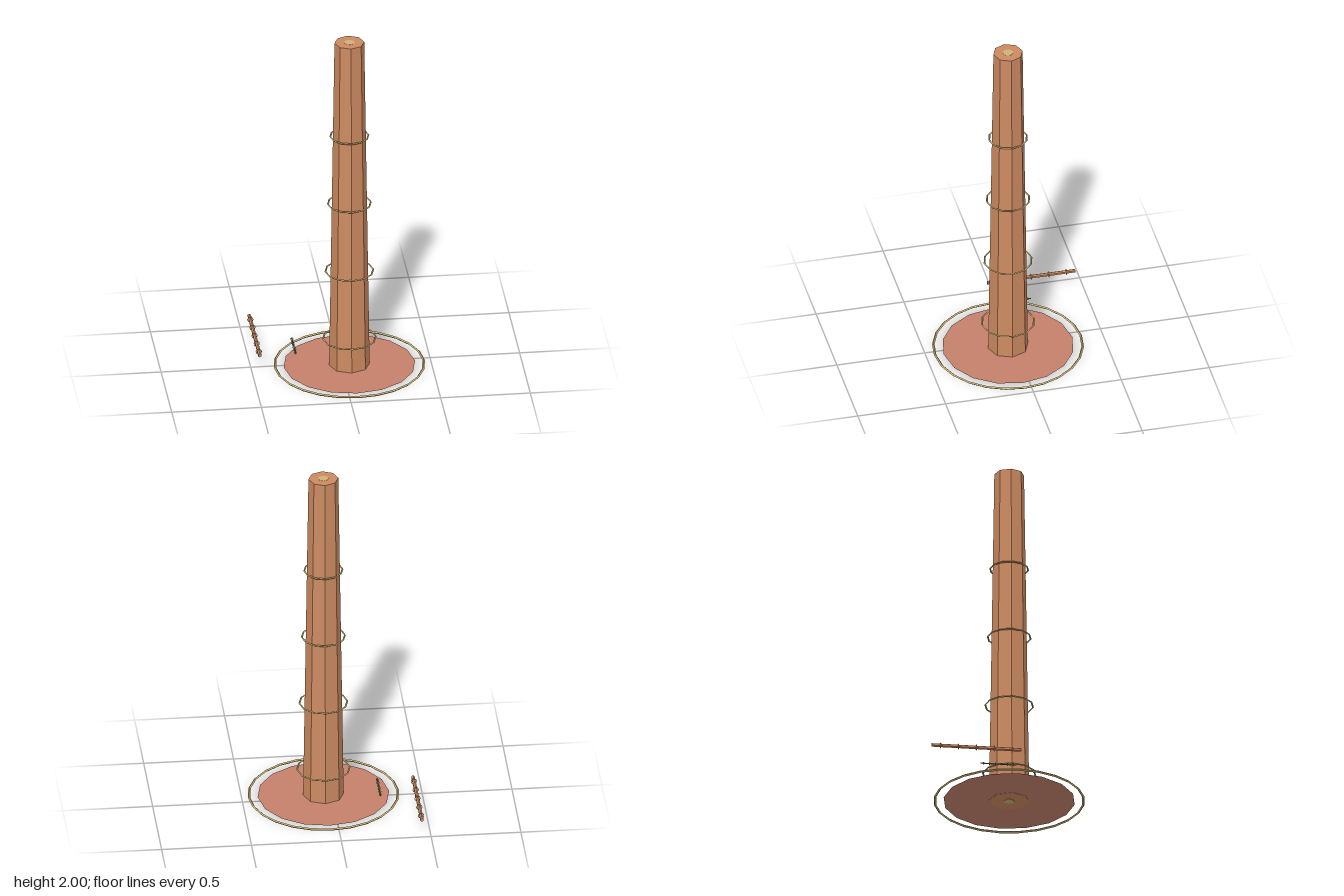
import * as THREE from 'three';

const material = (name, color, extra = {}) => {
  const m = new THREE.MeshStandardMaterial({ color, flatShading: true, ...extra });
  m.name = name;
  return m;
};

export function createModel() {
  const wood = material('wood', 0xcc8a60);
  const tan = material('tan', 0xcbb274);
  const clay = material('clay', 0xc4806a, { side: THREE.DoubleSide });
  const green = material('green', 0x6f8a58);

  const model = new THREE.Group();
  model.name = 'ringedColumn';

  const add = (parent, name, geometry, mat, x = 0, y = 0, z = 0) => {
    const mesh = new THREE.Mesh(geometry, mat);
    mesh.name = name;
    mesh.position.set(x, y, z);
    parent.add(mesh);
    return mesh;
  };

  // Column with everything concentric to it
  const column = new THREE.Group();
  column.name = 'column';
  column.position.set(0.046, 0, 0.037);
  model.add(column);

  add(column, 'shaft', new THREE.CylinderGeometry(0.083, 0.113, 1.993, 8), wood, 0, 1.0025, 0);
  add(column, 'core', new THREE.CylinderGeometry(0.03, 0.03, 1.997, 8), tan, 0, 1.0015, 0);
  add(column, 'baseDisc', new THREE.CircleGeometry(0.366, 16).rotateX(-Math.PI / 2), clay, 0, 0.007, 0);

  // Four-sided wire hoops lying flat
  const hoop = (name, outer, tube, segments, y) =>
    add(column, name, new THREE.TorusGeometry(outer - tube, tube, 4, segments).rotateX(Math.PI / 2), tan, 0, y, 0);

  hoop('groundHoop', 0.421, 0.007, 24, 0.008);
  for (let i = 0; i < 4; i++) hoop('shaftHoop', 0.152 - i * 0.0135, 0.005, 12, 0.17 + i * 0.417);

  // Rods lying along z, with small bands threaded on them
  const rod = (name, x, length, radius, mat, bandRadius, bandTube, bands) => {
    const group = new THREE.Group();
    group.name = name;
    group.position.set(x, 0.088, 0.037);
    model.add(group);
    add(group, 'bar', new THREE.CylinderGeometry(radius, radius, length, 6).rotateX(Math.PI / 2), mat, 0, 0, -length / 2);
    for (let i = 0; i < bands; i++) {
      const z = -length * (i + 0.5) / bands;
      const geometry = new THREE.TorusGeometry(bandRadius - bandTube, bandTube, 4, 8);
      add(group, 'band', geometry, mat === wood ? tan : green, 0, 0, z);
    }
  };
  rod('thickRod', -0.453, 0.5, 0.0105, wood, 0.0175, 0.002, 5);
  rod('thinRod', -0.253, 0.2, 0.0035, green, 0.009, 0.0015, 6);

  return model;
}
